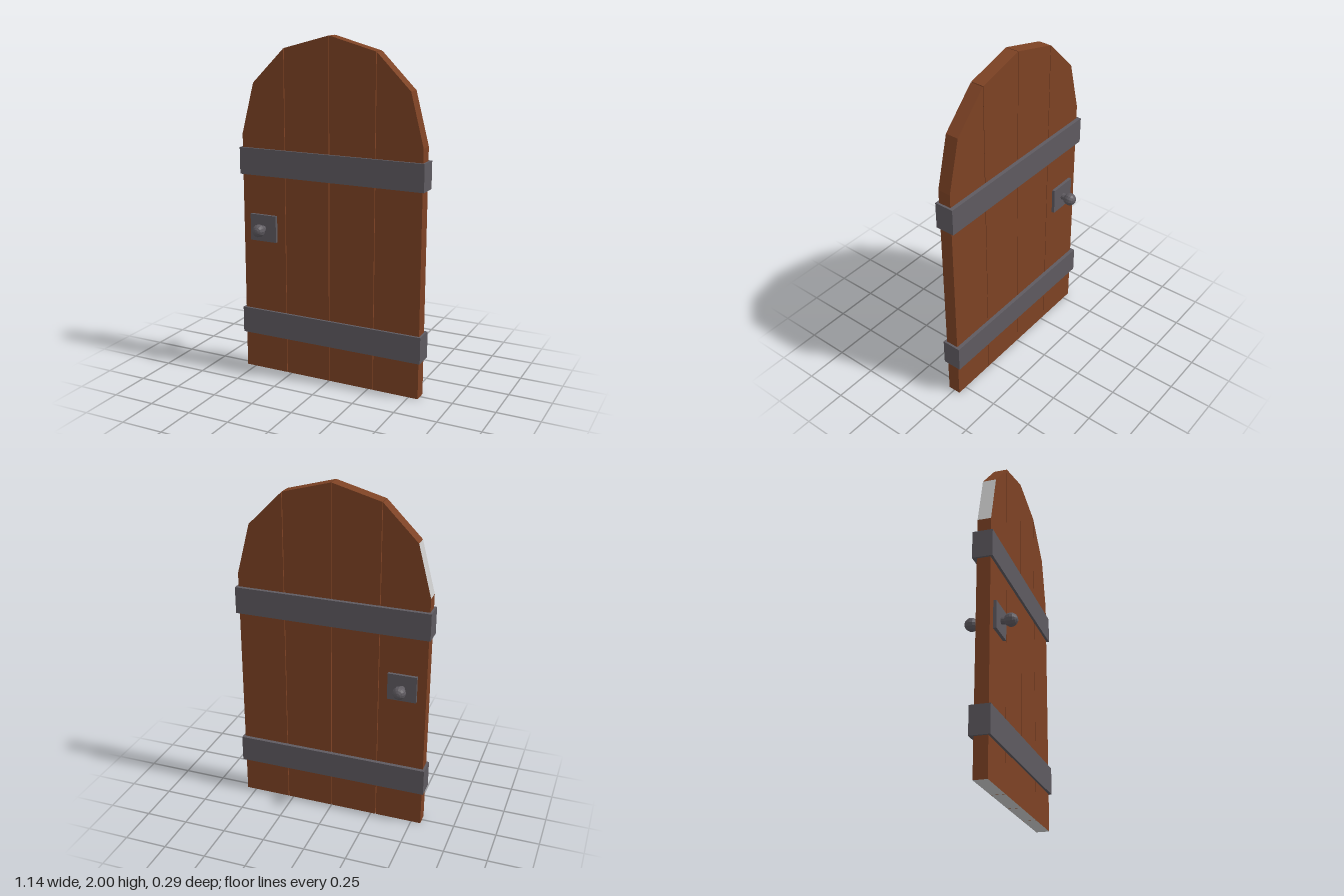
import * as THREE from 'three';

const metal = new THREE.MeshStandardMaterial({ color: 0x5e5a60, flatShading: true });
const wood = new THREE.MeshStandardMaterial({ color: 0x7d4224, flatShading: true });
const bare = new THREE.MeshStandardMaterial({ color: 0xcccccc, flatShading: true });

const THICK = 0.076;

function add(parent, name, geometry, material, x = 0, y = 0, z = 0) {
  const mesh = new THREE.Mesh(geometry, material);
  mesh.name = name;
  mesh.position.set(x, y, z);
  parent.add(mesh);
  return mesh;
}

// Upright board; faces accepted by isBare(normal) stay unpainted
function plankGeometry(points, isBare) {
  const shape = new THREE.Shape(points.map(([x, y]) => new THREE.Vector2(x, y)));
  const geo = new THREE.ExtrudeGeometry(shape, { depth: THICK, bevelEnabled: false });
  geo.translate(0, 0, -THICK / 2);
  const normals = geo.attributes.normal;
  const n = new THREE.Vector3();
  geo.clearGroups();
  for (let i = 0; i < normals.count; i += 3) {
    n.fromBufferAttribute(normals, i);
    geo.addGroup(i, 3, isBare(n) ? 1 : 0);
  }
  return geo;
}

// One knob with its plate, pointing along +z
function createHandle(name) {
  const handle = new THREE.Group();
  handle.name = name;
  add(handle, 'plate', new THREE.BoxGeometry(0.168, 0.158, 0.022), metal, 0, 0, 0.045);
  const stem = new THREE.CylinderGeometry(0.02, 0.02, 0.05, 12).rotateX(Math.PI / 2);
  add(handle, 'stem', stem, metal, 0, -0.003, 0.065);
  const ball = new THREE.SphereGeometry(0.038, 12, 8).rotateX(Math.PI / 2);
  add(handle, 'knob', ball, metal, 0, -0.003, 0.108);
  return handle;
}

export function createModel() {
  const door = new THREE.Group();
  door.name = 'door';

  // Four boards with narrow gaps, following the faceted arch
  const inner = [[0.002, 0], [0.278, 0], [0.278, 1.925], [0.002, 2]];
  const outer = [[0.282, 0], [0.557, 0], [0.557, 1.43], [0.48, 1.725], [0.282, 1.923]];
  for (const side of [-1, 1]) {
    for (const [name, profile] of [['InnerPlank', inner], ['OuterPlank', outer]]) {
      const points = profile.map(([x, y]) => [x * side, y]);
      const geo = plankGeometry(points, (n) =>
        n.y < -0.9 || (n.x < -0.9 && n.y > 0.1));
      add(door, (side < 0 ? 'right' : 'left') + name, geo, [wood, bare]);
    }
  }

  // Iron straps wrapped around the boards
  for (const [name, y] of [['lowerStrap', 0.296], ['upperStrap', 1.273]]) {
    add(door, name, new THREE.BoxGeometry(1.14, 0.157, 0.113), metal, 0, y, -0.004);
  }

  // Matching knobs on both faces
  const front = createHandle('frontHandle');
  front.position.set(-0.42, 0.884, 0);
  const back = createHandle('backHandle');
  back.position.set(-0.42, 0.884, 0);
  back.rotation.y = Math.PI;
  door.add(front, back);

  return door;
}
